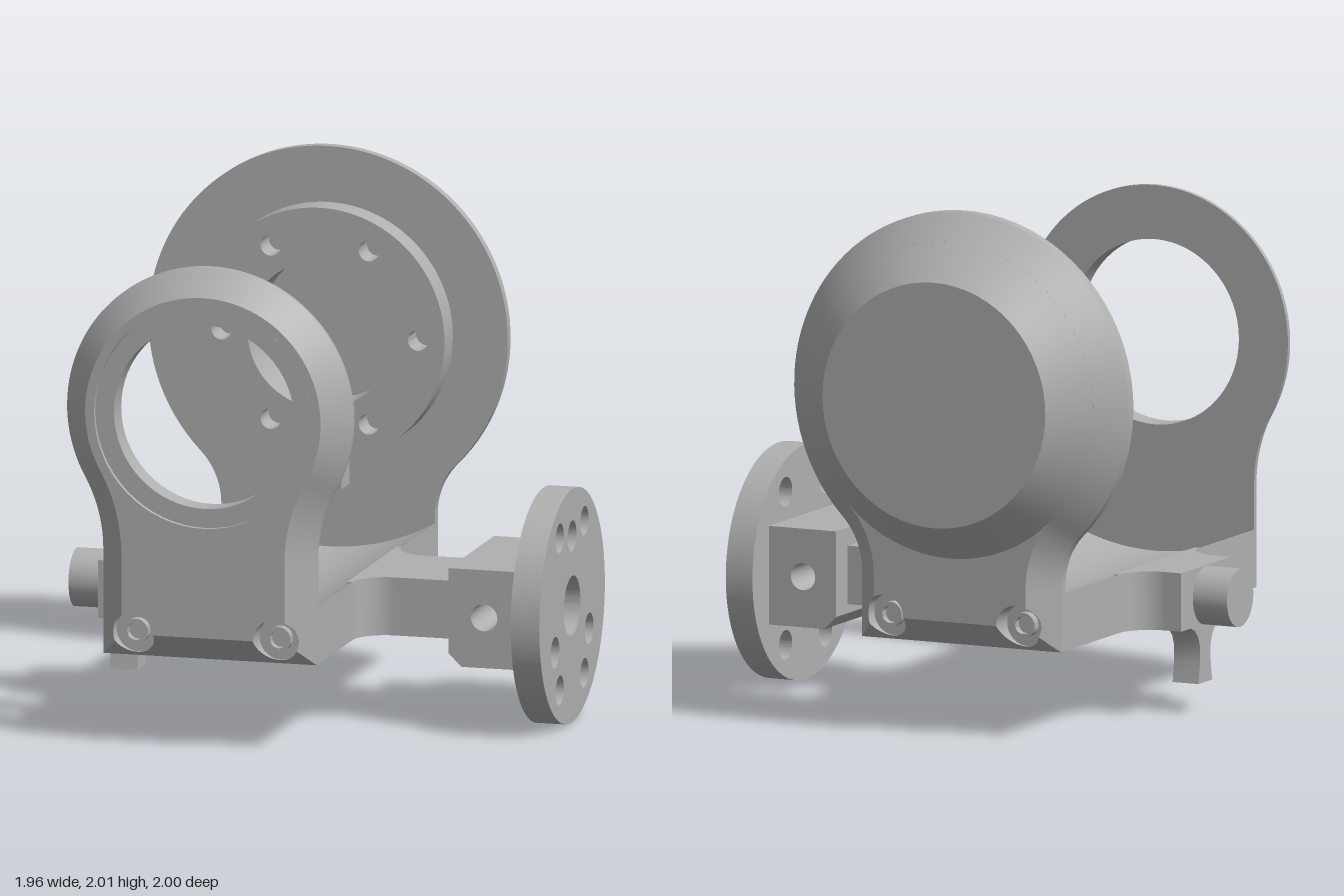
import * as THREE from 'three';
import { toCreasedNormals } from 'three/addons/utils/BufferGeometryUtils.js';

const grey = new THREE.MeshStandardMaterial({ color: 0xb0b0b0, side: THREE.DoubleSide });
grey.name = 'metalGrey';

const CX = -0.215, CY = 1.3;            // axis of the two rings
const W = 0.422, B = 0.345 - CY;        // neck half width, bottom edge (relative to the axis)
const C = 0.1;                          // chamfer
const BOLT = { x: 0.282, y: B + C, r: 0.085 };
const ARM_Z = 0.073, ARM_Y = 0.455;

function add(parent, name, geometry, x = 0, y = 0, z = 0) {
  const mesh = new THREE.Mesh(toCreasedNormals(geometry, 0.5), grey);
  mesh.name = name;
  mesh.position.set(x, y, z);
  parent.add(mesh);
  return mesh;
}

const shapeOf = pts => new THREE.Shape(pts.map(p => new THREE.Vector2(p[0], p[1])));
const circle = (x, y, r) => new THREE.Path().absarc(x, y, r, 0, Math.PI * 2, true);
const mirror = pts => pts.map(([x, y]) => [-x, y]).reverse();
const extrude = (shape, depth) =>
  new THREE.ExtrudeGeometry(shape, { depth, bevelEnabled: false, curveSegments: 48 });

function arc(cx, cy, r, a0, a1, n = 16) {
  return Array.from({ length: n + 1 }, (_, i) => {
    const a = a0 + (a1 - a0) * i / n;
    return [cx + r * Math.cos(a), cy + r * Math.sin(a)];
  });
}

// Band of quads between two equally long rows of points
function strip(rowA, zA, rowB, zB) {
  const pos = [], index = [];
  rowA.forEach((p, i) => {
    pos.push(...p, zA(...p), ...rowB[i], zB(...rowB[i]));
    if (i) { const k = 2 * i; index.push(k - 2, k - 1, k, k, k - 1, k + 1); }
  });
  const g = new THREE.BufferGeometry();
  g.setAttribute('position', new THREE.Float32BufferAttribute(pos, 3));
  g.setIndex(index);
  g.computeVertexNormals();
  return g;
}

// Flat polygon lifted to the height given by a rule
function lifted(pts, height, holeRadius = 0) {
  const shape = shapeOf(pts);
  if (holeRadius) shape.holes.push(circle(0, 0, holeRadius));
  const g = new THREE.ShapeGeometry(shape, 48), p = g.attributes.position;
  for (let i = 0; i < p.count; i++) p.setZ(i, height(p.getX(i), p.getY(i)));
  g.computeVertexNormals();
  return g;
}

function latheZ(points) {
  return new THREE.LatheGeometry(points.map(p => new THREE.Vector2(p[0], p[1])), 64).rotateX(Math.PI / 2);
}

// Keyhole-shaped plate with a chamfered rim and two sunk bolts; its inner face lies at z = 0
function plate(name, R, neckTop, lip, innerHole, outerHole) {
  const g = new THREE.Group();
  g.name = name;
  const f = (W * W + neckTop * neckTop - R * R) / (2 * (R - W));
  const theta = Math.atan2(neckTop, W + f);
  const outline = i => {
    const half = [
      ...arc(0, 0, R - i, Math.PI / 2, theta, 40),
      ...arc(W + f, neckTop, f + i, theta + Math.PI, Math.PI, 14).slice(1)];
    return [...mirror(half), ...half.slice(1)];
  };
  const outer = outline(0), inner = outline(C);
  const at = z => () => z;
  const slope = (x, y) => lip + Math.min(C, W - Math.abs(x), y - B);
  const rim = [...outer, [W, B], [-W, B], outer[0]];
  add(g, name + 'InnerFace', lifted(rim.slice(0, -1), at(0), innerHole));
  add(g, name + 'Rim', strip(rim, at(0), rim, at(lip)));
  add(g, name + 'Chamfer', strip(outer, at(lip), inner, at(lip + C)));

  // Faces around the bolt recesses
  const d = W - C - BOLT.x, t = (Math.sqrt(2 * BOLT.r ** 2 - d * d) - d) / 2;
  const a = Math.acos(d / BOLT.r), b = Math.atan2(-t, d + t);
  const cut = (a0, a1) => arc(BOLT.x, BOLT.y, BOLT.r, a0, a1);
  const top = cut(a, Math.PI), side = cut(b, a), low = cut(b, -Math.PI);
  add(g, name + 'OuterFace', lifted([...inner, ...top, ...mirror(top)], at(lip + C), outerHole));
  const sidePoly = [[W, neckTop], [W, B], ...side, [W - C, neckTop]];
  add(g, name + 'SideChamfer', lifted(sidePoly, slope));
  add(g, name + 'SideChamfer', lifted(mirror(sidePoly), slope));
  add(g, name + 'BottomChamfer', lifted([[W, B], ...low, ...mirror(low), [-W, B]], slope));

  // Sunk bolts
  const floor = lip + 0.005;
  for (const s of [-1, 1]) {
    const ring = arc(s * BOLT.x, BOLT.y, BOLT.r, 0, Math.PI * 2, 40);
    add(g, 'boltRecessWall', strip(ring, at(floor), ring, slope));
    add(g, 'boltRecessFloor', new THREE.CircleGeometry(BOLT.r, 40), s * BOLT.x, BOLT.y, floor);
    add(g, 'boltHead', latheZ([[0.048, 0], [0.048, 0.035], [0.034, 0.035], [0.034, 0.004], [0, 0.004]]),
      s * BOLT.x, BOLT.y, floor);
  }
  return g;
}

// Side arm with filleted root, pointing along +x from the base edge
function arm(length) {
  const h = 0.212, r = 0.13;
  const upper = [[-0.02, h + r], [0, h + r], ...arc(r, h + r, r, Math.PI, Math.PI * 1.5), [length, h]];
  const lower = upper.map(([x, y]) => [x, -y]).reverse();
  return extrude(shapeOf([...upper, ...lower]), 0.225).rotateX(-Math.PI / 2);
}

export function createModel() {
  const model = new THREE.Group();
  model.name = 'bearingBracket';

  // Front ring plate with stepped bore
  const front = plate('frontPlate', 0.565, -0.55, 0.02, 0.357, 0.43);
  front.position.set(CX, CY, 0.88);
  add(front, 'frontBore', latheZ([[0.357, 0], [0.357, 0.1], [0.43, 0.1], [0.43, 0.12]]));
  model.add(front);

  // Rear plate with conical cover
  const back = plate('rearPlate', 0.71, -0.7, 0.04, 0.285, 0);
  back.position.set(CX, CY, -0.725);
  back.rotation.y = Math.PI;
  add(back, 'rearCover', latheZ([[0.61, 0.14], [0.473, 0.275], [0, 0.275]]));
  add(back, 'rearBore', latheZ([[0.285, 0], [0.285, 0.11], [0, 0.11]]));
  model.add(back);

  // Hub with a ring of six holes and a small tab below
  const hub = new THREE.Shape().absarc(0, 0, 0.493, 0, Math.PI * 2);
  hub.holes.push(circle(0, 0, 0.285));
  for (let i = 0; i < 6; i++) {
    const a = i * Math.PI / 3;
    hub.holes.push(circle(0.388 * Math.cos(a), 0.388 * Math.sin(a), 0.04));
  }
  add(model, 'hub', extrude(hub, 0.115), CX, CY, -0.725);
  add(model, 'hubTab', new THREE.BoxGeometry(0.17, 0.12, 0.11), CX, 0.765, -0.67);

  // Base with a hollow top concentric with the rings
  const edge = 0.57 - CY, rad = Math.hypot(W, edge), a0 = Math.atan2(edge, W);
  const base = shapeOf([[-W, B], [W, B], ...arc(0, 0, rad, a0, -Math.PI - a0, 32)]);
  add(model, 'base', extrude(base, 1.605), CX, CY, -0.725);

  // Arms
  add(model, 'leftArm', arm(0.38), CX + W, 0.345, ARM_Z);
  add(model, 'rightArm', arm(0.198), CX - W, 0.345, ARM_Z).rotation.y = Math.PI;

  // Knob and hanging post on the right arm
  add(model, 'knob', new THREE.CylinderGeometry(0.112, 0.112, 0.16, 48).rotateZ(Math.PI / 2), -0.9, ARM_Y, ARM_Z);
  const postSide = [[0.058, 0.12], [0.045, 0.2], [0.045, 0.26], [0.06, 0.3], [0.09, 0.33], [0.14, 0.35]];
  const post = shapeOf([...postSide, ...mirror(postSide)]);
  add(model, 'post', extrude(post, 0.11).rotateY(Math.PI / 2), -0.832, 0, ARM_Z);

  // Mounting block with a cross hole
  const block = shapeOf([[0.58, 0.31], [0.63, 0.26], [0.87, 0.26], [0.87, 0.64], [0.58, 0.64]]);
  block.holes.push(circle(0.72, ARM_Y, 0.052));
  add(model, 'mountingBlock', extrude(block, 0.624), 0, 0, ARM_Z - 0.312);

  // Flange: through holes in both layers, blind holes in the outer one
  const layers = [['flangeBack', 0.865, 0.04, false], ['flangeFace', 0.905, 0.073, true]];
  for (const [name, x, depth, blind] of layers) {
    const disc = new THREE.Shape().absarc(0, 0, 0.452, 0, Math.PI * 2);
    disc.holes.push(circle(0, 0, 0.115));
    for (const sx of [-1, 1]) {
      for (const sy of [-1, 1]) disc.holes.push(circle(sx * 0.17, sy * 0.295, 0.057));
      if (blind) disc.holes.push(circle(sx * 0.235, -0.135, 0.06));
    }
    if (blind) disc.holes.push(circle(0, 0.27, 0.06));
    add(model, name, extrude(disc, depth).rotateY(Math.PI / 2), x, ARM_Y, ARM_Z);
  }
  return model;
}
